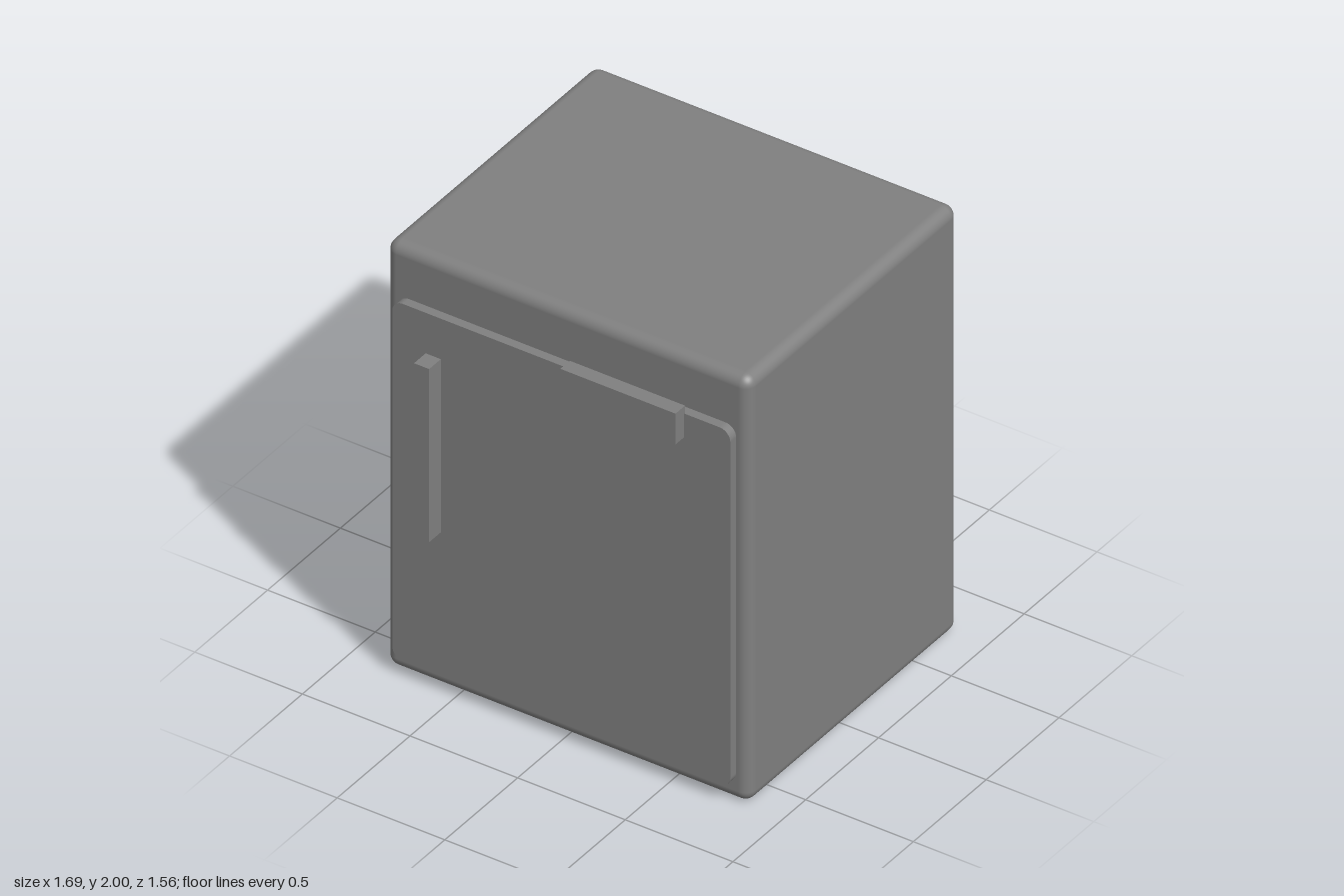
import * as THREE from 'three';
import { RoundedBoxGeometry } from 'three/addons/geometries/RoundedBoxGeometry.js';

const grey = new THREE.MeshStandardMaterial({ color: 0x808080 });
grey.name = 'grey enamel';

function addPart(group, name, geometry, x, y, z) {
  const mesh = new THREE.Mesh(geometry, grey);
  mesh.name = name;
  mesh.position.set(x, y, z);
  group.add(mesh);
}

// Rectangle with rounded corners, centred on the origin
function roundedRect(w, h, r) {
  const x = w / 2 - r, y = h / 2 - r;
  const shape = new THREE.Shape();
  shape.absarc(x, y, r, 0, Math.PI / 2);
  shape.absarc(-x, y, r, Math.PI / 2, Math.PI);
  shape.absarc(-x, -y, r, Math.PI, Math.PI * 1.5);
  shape.absarc(x, -y, r, Math.PI * 1.5, Math.PI * 2);
  shape.closePath();
  return shape;
}

export function createModel() {
  const model = new THREE.Group();
  model.name = 'miniFridge';

  // Cabinet with softly rounded edges
  addPart(model, 'cabinet', new RoundedBoxGeometry(1.69, 2, 1.44, 5, 0.05), 0, 1, -0.06);

  // Flat door slab, slightly sunk into the cabinet front
  const door = new THREE.ExtrudeGeometry(roundedRect(1.57, 1.68, 0.05), {
    depth: 0.06, bevelEnabled: false, curveSegments: 8,
  });
  addPart(model, 'door', door, 0, 0.925, 0.64);

  // Upright door handle
  addPart(model, 'handle', new THREE.BoxGeometry(0.07, 0.815, 0.08), -0.595, 1.167, 0.74);

  // Plate overlapping the top edge of the door
  addPart(model, 'topPlate', new THREE.BoxGeometry(0.535, 0.145, 0.065), 0.303, 1.726, 0.7265);

  return model;
}
